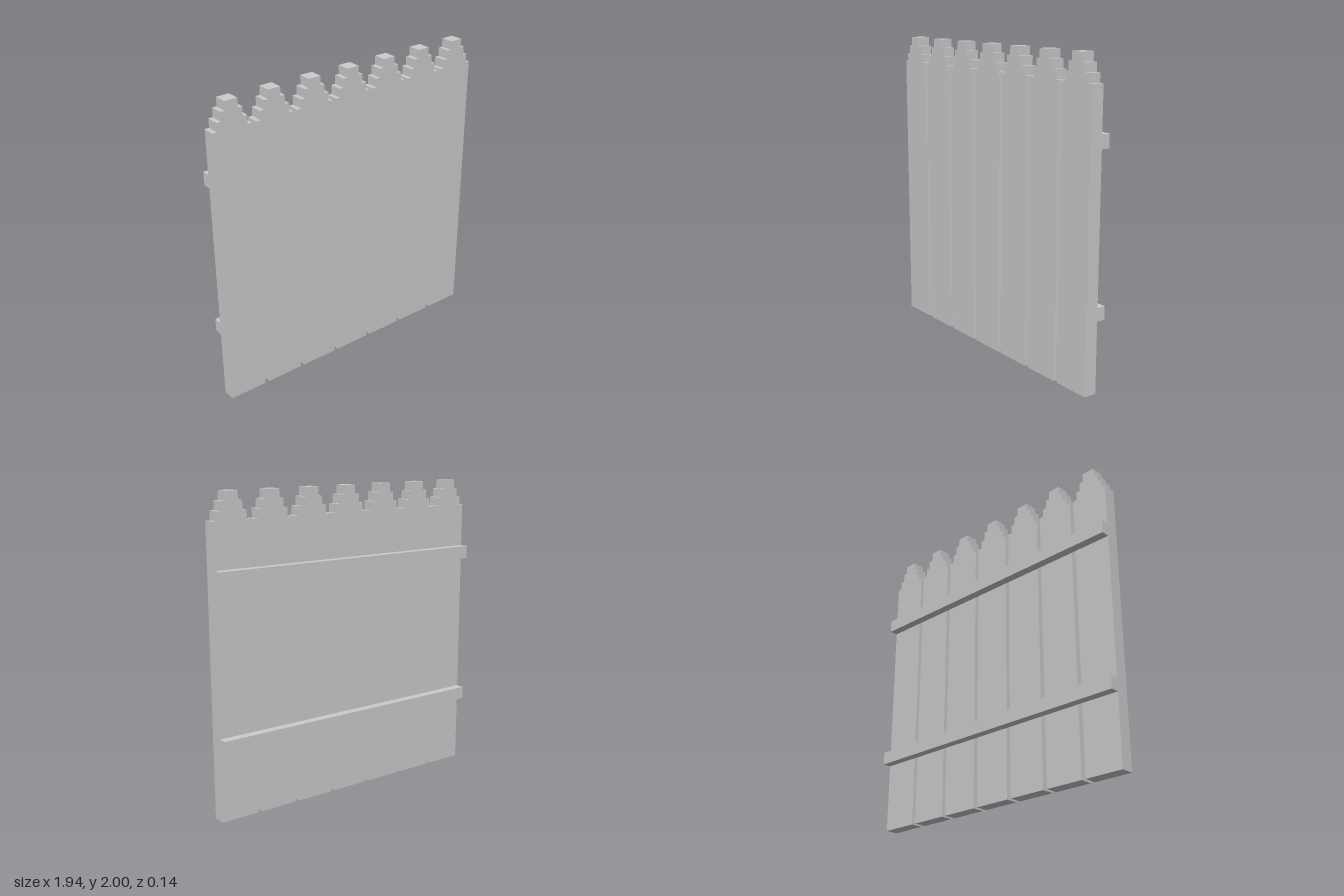
import * as THREE from 'three';

const U = 2 / 71; // module size: the fence is 71 modules tall
const PICKETS = 7;
const PITCH = 10 * U;
const WIDTH = 9 * U;
const BODY = 65 * U; // height where the stepped tip starts
const STEPS = 3;

// Picket outline: a straight board with a stepped tip
function picketShape() {
  const right = [[WIDTH / 2, 0]];
  for (let i = 0; i <= STEPS; i++) {
    const x = WIDTH / 2 - i * U;
    const y = BODY + i * 2 * U;
    if (i > 0) right.push([x, y - 2 * U]);
    right.push([x, y]);
  }
  const left = right.map(([x, y]) => [-x, y]).reverse();
  return new THREE.Shape([...right, ...left].map(([x, y]) => new THREE.Vector2(x, y)));
}

export function createModel() {
  const group = new THREE.Group();
  group.name = 'picketFence';
  const material = new THREE.MeshStandardMaterial({ color: 0xcccccc, flatShading: true });

  // Row of upright pickets
  const picketGeometry = new THREE.ExtrudeGeometry(picketShape(), { depth: 3 * U, bevelEnabled: false });
  for (let i = 0; i < PICKETS; i++) {
    const picket = new THREE.Mesh(picketGeometry, material);
    picket.name = `picket${i + 1}`;
    picket.position.set((i - (PICKETS - 1) / 2) * PITCH, 0, -0.5 * U);
    group.add(picket);
  }

  // Two horizontal rails across the back
  const railGeometry = new THREE.BoxGeometry((PICKETS - 1) * PITCH + WIDTH, 3 * U, 2 * U);
  for (const [name, y] of [['lowerRail', 17.5 * U], ['upperRail', 53.5 * U]]) {
    const rail = new THREE.Mesh(railGeometry, material);
    rail.name = name;
    rail.position.set(0, y, -1.5 * U);
    group.add(rail);
  }
  return group;
}
